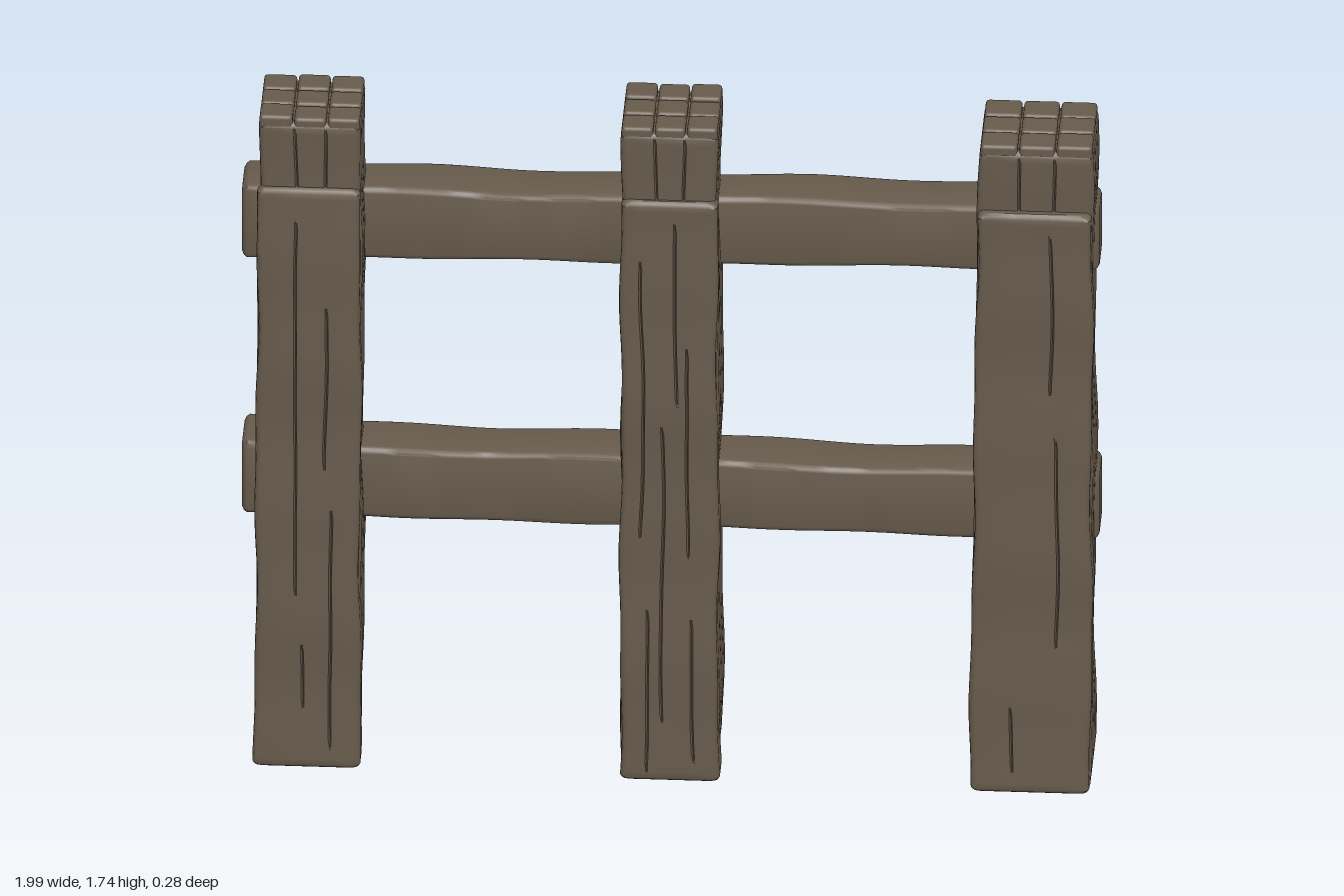
import * as THREE from 'three';
import { toCreasedNormals } from 'three/addons/utils/BufferGeometryUtils.js';
import { RoundedBoxGeometry } from 'three/addons/geometries/RoundedBoxGeometry.js';

const wood = new THREE.MeshStandardMaterial({ color: 0x665a4b });
wood.name = 'weathered wood';

function seeded(seed) {
  let s = seed * 7919 + 17;
  return () => (s = (s * 16807) % 2147483647) / 2147483647;
}

// A hewn beam: t runs along it, rect(t) gives its bounds [a0, a1, b0, b1] across.
// Posts run up y (a = x, b = z); rails run along x (a = y, b = z).
function makeBeam({ upright, from, to, start, end, seed }) {
  const rect = (t) => start.map((v, i) =>
    v + (end[i] - v) * t + 0.003 * (Math.sin(t * 13 + seed * 2.1 + i * 1.9) + 0.6 * Math.sin(t * 29 + seed + i * 2.7)));
  const place = (t, a, b) => {
    const l = from + (to - from) * t;
    return upright ? [a, l, b] : [l, a, b];
  };
  return { rect, place, upright, length: to - from };
}

// Depth of a groove [fraction, start, end] at t, tapering to nothing at both ends
function grooveDepth([, t0, t1], t) {
  return 0.011 * Math.max(0, Math.min(1, (t - t0) / 0.03, (t1 - t) / 0.03));
}

// Loft of rounded rectangles. grooves[c] lists the splits cut into the side that
// follows corner c: 0 = b high, 1 = a low, 2 = b low, 3 = a high.
function beamMesh(beam, name, grooves = [[], [], [], []]) {
  const { rect, place, upright, length } = beam;
  const pos = [], idx = [], steps = 60, e = 0.012 / length, r = 0.014;
  const rings = [[0, 0.011], [e * 0.4, 0.004], [e, 0]];
  for (let i = 1; i < steps; i++) rings.push([i / steps, 0]);
  rings.push([1 - e, 0], [1 - e * 0.4, 0.004], [1, 0.011]);
  for (const [t, inset] of rings) {
    let [a0, a1, b0, b1] = rect(t);
    a0 += inset; a1 -= inset; b0 += inset; b1 -= inset;
    const corners = [[a1 - r, b1 - r], [a0 + r, b1 - r], [a0 + r, b0 + r], [a1 - r, b0 + r]];
    corners.forEach(([a, b], c) => {
      for (let k = 0; k < 4; k++) {
        const w = (c + k / 3) * Math.PI / 2;
        pos.push(...place(t, a + r * Math.cos(w), b + r * Math.sin(w)));
      }
      // Straight side from this corner to the next, with V-shaped grooves
      const [nextA, nextB] = corners[(c + 1) % 4];
      const w = (c + 1) * Math.PI / 2, outA = Math.cos(w), outB = Math.sin(w);
      const run = Math.abs(nextA - a) + Math.abs(nextB - b);
      grooves[c].forEach((groove, g) => {
        const depth = grooveDepth(groove, t);
        const middle = run * groove[0] + 0.003 * Math.sin(t * 11 + g * 2 + c);
        for (const k of [-1, 0, 1]) {
          const s = (middle + k * 0.0035) / run, out = r - (k ? 0 : depth);
          pos.push(...place(t, a + (nextA - a) * s + outA * out, b + (nextB - b) * s + outB * out));
        }
      });
    });
  }
  const n = pos.length / 3 / rings.length;
  const tri = (a, b, c) => (upright ? idx.push(a, c, b) : idx.push(a, b, c));
  for (let i = 0; i < rings.length - 1; i++) {
    for (let j = 0; j < n; j++) {
      const p = i * n + j, q = i * n + (j + 1) % n;
      tri(p, q, q + n);
      tri(p, q + n, p + n);
    }
  }
  const last = (rings.length - 1) * n;
  for (let j = 1; j < n - 1; j++) {
    tri(0, j + 1, j);
    tri(last, last + j, last + j + 1);
  }
  const geo = new THREE.BufferGeometry();
  geo.setAttribute('position', new THREE.Float32BufferAttribute(pos, 3));
  geo.setIndex(idx);
  const mesh = new THREE.Mesh(toCreasedNormals(geo, 0.6), wood);
  mesh.name = name;
  return mesh;
}

// Nine rounded blocks that make the split grain on an end of a post
function endBlocks(bounds, y, rnd, group) {
  const [a0, a1, b0, b1] = bounds;
  const cuts = [0, 0.34, 0.67, 1], height = 0.05;
  for (let i = 0; i < 3; i++) {
    for (let j = 0; j < 3; j++) {
      const w = (a1 - a0) * (cuts[i + 1] - cuts[i]) - 0.004;
      const d = (b1 - b0) * (cuts[j + 1] - cuts[j]) - 0.004;
      const block = new THREE.Mesh(new RoundedBoxGeometry(w, height, d, 2, 0.009), wood);
      block.position.set(
        a0 + (a1 - a0) * (cuts[i] + cuts[i + 1]) / 2,
        y + (rnd() - 0.5) * 0.006,
        b0 + (b1 - b0) * (cuts[j] + cuts[j + 1]) / 2,
      );
      block.name = 'endGrainBlock';
      group.add(block);
    }
  }
}

// faceSplits lists [fraction from the +x edge, start, end] on the front of the slab, in order
function makePost({ name, seed, top, low, high, front, faceSplits }) {
  const group = new THREE.Group();
  group.name = name;
  const rnd = seeded(seed);
  // Core timber, and a thicker face slab that stops short of the top
  const core = makeBeam({
    upright: true, from: 0.02, to: top - 0.015, seed,
    start: [low[0] + 0.003, low[1] - 0.002, -0.114, front - 0.018],
    end: [high[0] + 0.002, high[1], -0.109, front - 0.018],
  });
  const slab = makeBeam({
    upright: true, from: 0, to: 1.55, seed: seed + 4,
    start: [low[0], low[1], 0.03, front], end: [high[0], high[1], 0.075, front],
  });
  // Long grain splits on the flanks and back, short ones below the top in front
  const longSplits = () => [0.33, 0.67].flatMap((f) => {
    const gap = 0.35 + rnd() * 0.3;
    return [[f - 0.03, 0.01, gap], [f + 0.03, gap + 0.03, 0.99]];
  });
  const topSplits = [[0.33, 0.88, 0.99], [0.66, 0.88, 0.99]];
  group.add(
    beamMesh(core, 'postCore', [topSplits, longSplits(), longSplits(), longSplits()]),
    beamMesh(slab, 'postFaceSlab', [faceSplits, [], [], []]),
  );
  endBlocks(core.rect(1), top - 0.024, rnd, group);
  endBlocks(core.rect(0), 0.03, rnd, group);
  return group;
}

function makeRail(name, seed, start, end) {
  const rail = makeBeam({ upright: false, from: -0.998, to: 0.995, seed, start, end });
  return beamMesh(rail, name);
}

export function createModel() {
  const model = new THREE.Group();
  model.name = 'woodenFence';
  model.add(
    makePost({
      name: 'rightPost', seed: 1, top: 1.735, low: [-0.963, -0.718], high: [-0.955, -0.715], front: 0.114,
      faceSplits: [[0.25, 0.03, 0.45], [0.31, 0.52, 0.8], [0.56, 0.1, 0.22], [0.64, 0.3, 0.95]],
    }),
    makePost({
      name: 'middlePost', seed: 2, top: 1.74, low: [-0.112, 0.117], high: [-0.109, 0.114], front: 0.126,
      faceSplits: [[0.22, 0.03, 0.28], [0.28, 0.38, 0.75], [0.42, 0.66, 0.96], [0.58, 0.1, 0.62], [0.76, 0.02, 0.3], [0.82, 0.42, 0.9]],
    }),
    makePost({
      name: 'leftPost', seed: 3, top: 1.722, low: [0.7, 0.983], high: [0.72, 0.986], front: 0.131,
      faceSplits: [[0.27, 0.25, 0.62], [0.34, 0.68, 0.97], [0.68, 0.03, 0.15]],
    }),
    makeRail('upperRail', 5, [1.297, 1.487, -0.137, -0.005], [1.322, 1.49, -0.137, -0.01]),
    makeRail('lowerRail', 6, [0.612, 0.803, -0.137, 0], [0.602, 0.775, -0.137, -0.005]),
  );
  return model;
}
